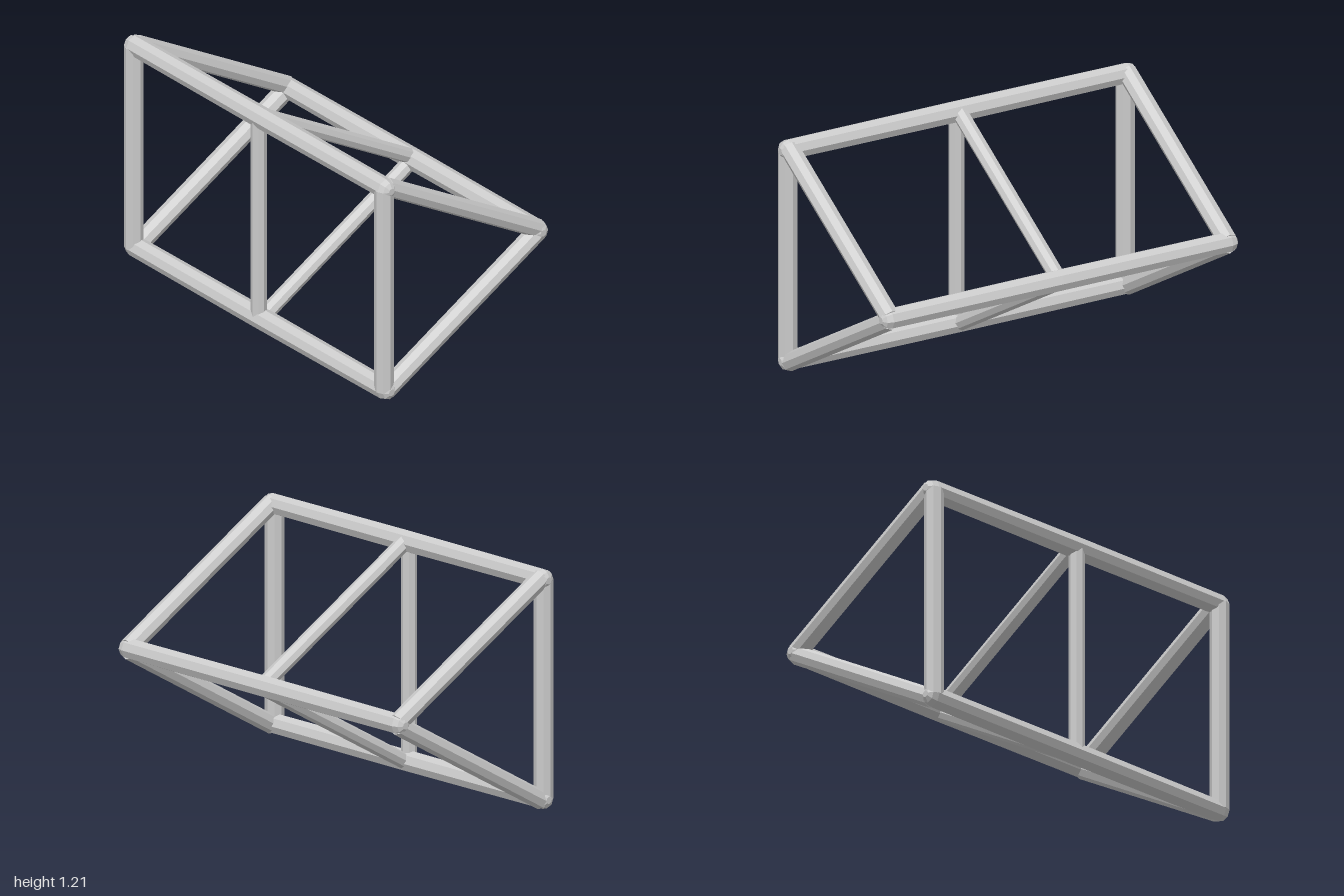
import * as THREE from 'three';

export function createModel() {
  const group = new THREE.Group();
  group.name = 'prismFrame';
  const material = new THREE.MeshStandardMaterial({ color: 0xcccccc, flatShading: true });
  const up = new THREE.Vector3(0, 1, 0);
  const centre = new THREE.Vector3(-0.158, 0.605, 0);
  const corners = [[-0.475, 1.155], [-0.475, 0.055], [0.475, 0.605]]
    .map(([x, y]) => new THREE.Vector3(x, y, 0));

  function add(name, geometry) {
    const mesh = new THREE.Mesh(geometry, material);
    mesh.name = name;
    group.add(mesh);
    return mesh;
  }

  // Long octagonal rails with blunt, chamfered ends, slightly thicker in the middle
  const half = [[0, 1], [0.018, 1], [0.042, 0.985], [0.052, 0.955]];
  const profile = [
    ...half.map(([r, h]) => new THREE.Vector2(r, -h)),
    new THREE.Vector2(0.055, 0),
    ...half.slice().reverse().map(([r, h]) => new THREE.Vector2(r, h)),
  ];
  ['topRail', 'bottomRail', 'sideRail'].forEach((name, i) => {
    const rail = add(name, new THREE.LatheGeometry(profile, 8));
    rail.rotation.x = Math.PI / 2;
    rail.position.copy(corners[i]);
  });

  // Octagonal bars joining the rails in three triangular frames
  const frames = [['back', -0.95, 0.05], ['middle', 0, 0.041], ['front', 0.95, 0.05]];
  const sides = ['Upright', 'LowerSlope', 'UpperSlope'];
  for (const [frame, z, radius] of frames) {
    sides.forEach((side, i) => {
      const a = corners[i], b = corners[(i + 1) % 3];
      const dir = b.clone().sub(a);
      const mid = a.clone().add(b).multiplyScalar(0.5);
      // the bars sit a little outside the lines between the rails
      const out = mid.clone().sub(centre).normalize().multiplyScalar(0.009);
      const geometry = new THREE.CylinderGeometry(radius, radius, dir.length(), 8);
      geometry.scale(0.047 / 0.05, 1, 1);
      const bar = add(frame + side, geometry);
      bar.quaternion.setFromUnitVectors(up, dir.normalize());
      // keep the bar's cross-section square to the frame plane
      bar.rotation.set(0, 0, Math.atan2(-dir.x, dir.y));
      bar.position.copy(mid).add(out).setZ(z);
    });
  }
  return group;
}
